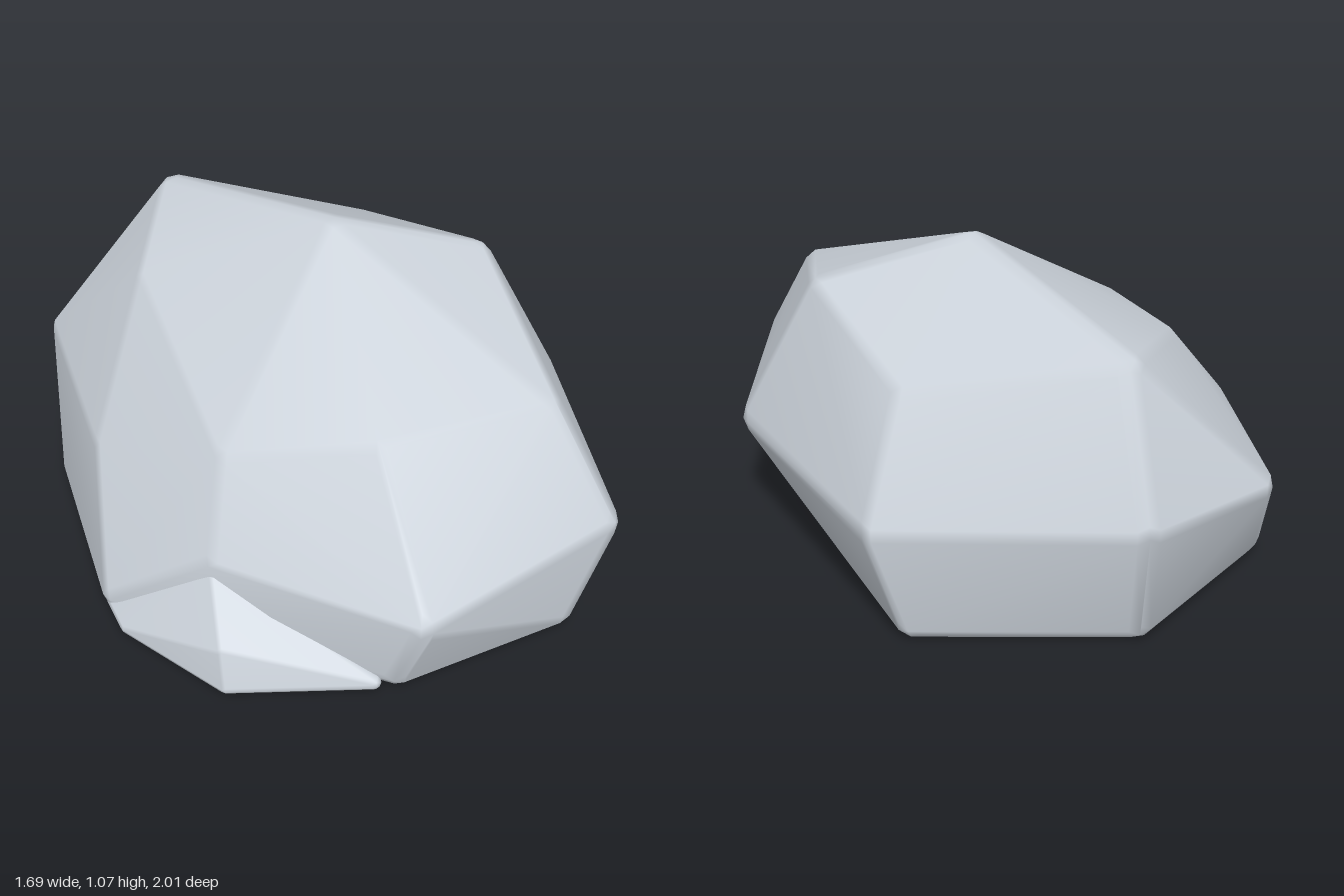
import * as THREE from 'three';
import { ConvexGeometry } from 'three/addons/geometries/ConvexGeometry.js';
import { mergeVertices } from 'three/addons/utils/BufferGeometryUtils.js';

const stone = new THREE.MeshStandardMaterial({ color: 0xcbd2da });
stone.name = 'stone grey';

// Convex stone with softened edges: hull of a small ball placed just inside every corner
function softStone(name, corners, centre, radius) {
  const ball = mergeVertices(new THREE.IcosahedronGeometry(radius, 1).deleteAttribute('normal').deleteAttribute('uv'));
  const dots = ball.getAttribute('position');
  const mid = new THREE.Vector3(...centre);
  const points = [];
  for (const c of corners) {
    const p = new THREE.Vector3(...c);
    p.addScaledVector(mid.clone().sub(p).normalize(), radius * 1.1);
    p.y = Math.max(p.y, radius);
    for (let i = 0; i < dots.count; i++) {
      points.push(new THREE.Vector3().fromBufferAttribute(dots, i).add(p));
    }
  }
  // Weld the corners so the normals blend softly across the edges
  let geometry = new ConvexGeometry(points);
  geometry.deleteAttribute('normal');
  geometry = mergeVertices(geometry, 1e-4);
  geometry.computeVertexNormals();
  const mesh = new THREE.Mesh(geometry, stone);
  mesh.name = name;
  return mesh;
}

export function createModel() {
  const rock = new THREE.Group();
  rock.name = 'rock';

  // Main boulder, corners listed from the crown down
  rock.add(softStone('boulder', [
    // crown
    [0.12, 1.07, -0.12], [0.61, 0.9, 0.01], [-0.2, 0.895, -0.83], [-0.45, 0.8, -0.46],
    [0.44, 0.75, -0.55],
    // shoulder
    [-0.07, 0.72, 0.64], [0.52, 0.71, 0.67], [-0.5, 0.6, 0.35],
    // waist
    [0.84, 0.4, 0.11], [0.57, 0.38, -0.71], [-0.22, 0.44, -1.01], [-0.65, 0.43, -0.81],
    [-0.75, 0.4, -0.13], [-0.59, 0.31, 0.49], [-0.09, 0.29, 1.01], [0.62, 0.36, 0.89],
    // foot
    [0.46, 0, -0.73], [-0.24, 0, -0.9], [-0.75, 0, -0.5], [-0.85, 0.02, 0.22],
    [-0.14, 0, 0.93], [0.47, 0, 0.9], [0.63, 0, 0.38],
  ], [0, 0.4, 0], 0.07));

  // Low spur continuing the left flank past the front corner
  rock.add(softStone('spur', [
    [-0.64, 0, 0.72], [-0.635, 0.14, 0.68], [-0.58, 0.3, 0.47], [-0.84, 0.02, 0.32],
    [-0.84, 0.04, 0.2], [-0.2, 0.03, 0.9], [-0.3, 0, 0.2], [-0.3, 0.2, 0.3],
  ], [-0.5, 0.12, 0.45], 0.025));

  // Stand it on the ground, centred
  const box = new THREE.Box3().setFromObject(rock);
  const centre = box.getCenter(new THREE.Vector3());
  for (const part of rock.children) part.geometry.translate(-centre.x, -box.min.y, -centre.z);
  return rock;
}
